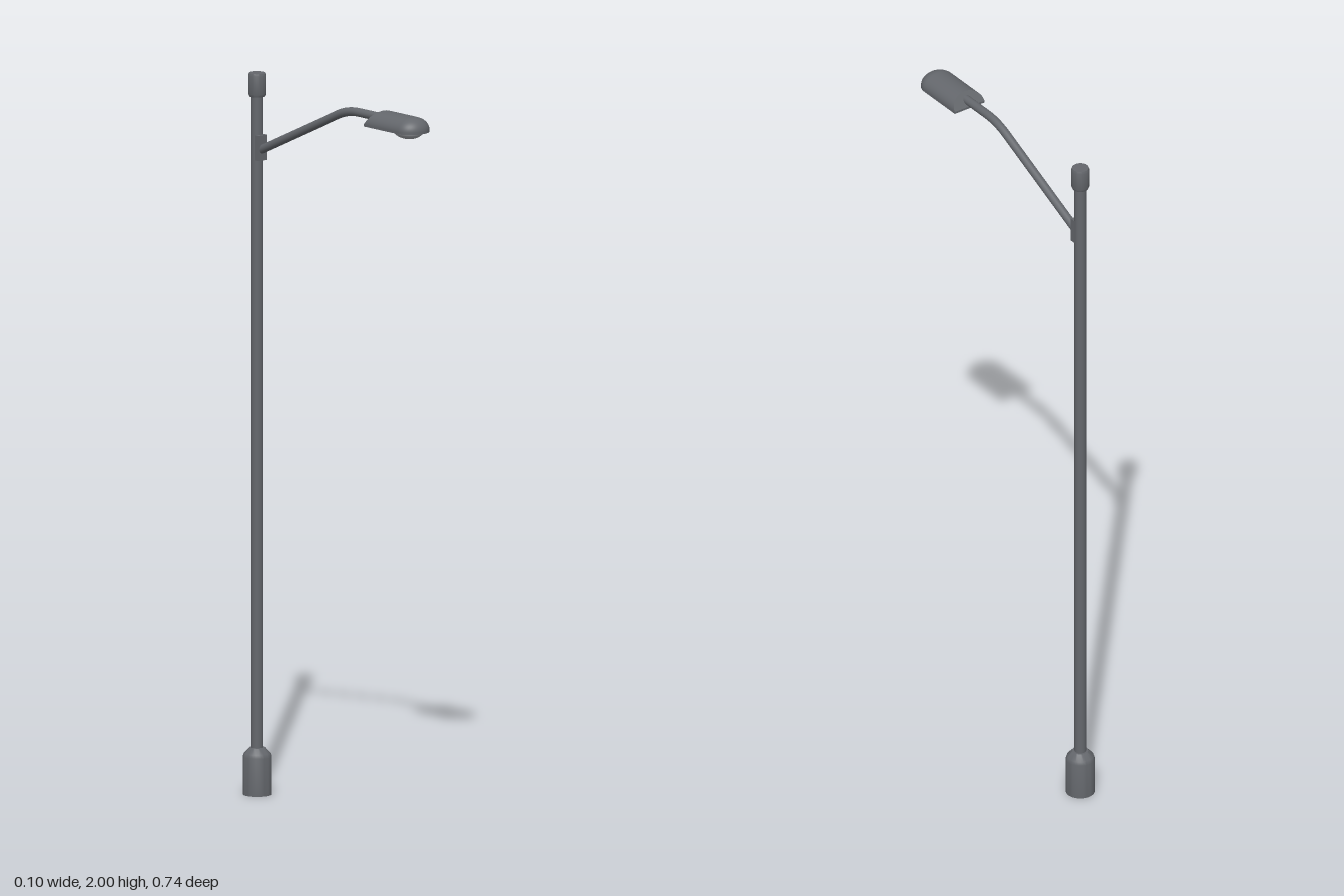
import * as THREE from 'three';
import { toCreasedNormals } from 'three/addons/utils/BufferGeometryUtils.js';
import { ParametricGeometry } from 'three/addons/geometries/ParametricGeometry.js';

const POLE_Z = -0.33;

export function createModel() {
  const metal = new THREE.MeshStandardMaterial({ color: 0x64676c });
  metal.name = 'grey metal';
  metal.side = THREE.DoubleSide;
  const glass = new THREE.MeshStandardMaterial({ color: 0x9a9da2 });
  glass.name = 'pale lens';

  const lamp = new THREE.Group();
  lamp.name = 'streetLamp';
  const add = (name, geometry, material, x = 0, y = 0, z = 0) => {
    const mesh = new THREE.Mesh(geometry, material);
    mesh.name = name;
    mesh.position.set(x, y, z);
    lamp.add(mesh);
    return mesh;
  };
  const turned = (pts) => toCreasedNormals(
    new THREE.LatheGeometry(pts.map(([r, y]) => new THREE.Vector2(r, y)), 32), 0.5);

  // Upright: base with sloped shoulder, shaft and top cap
  add('base', turned([[0, 0], [0.04, 0], [0.04, 0.105], [0.037, 0.114], [0.022, 0.13], [0, 0.13]]), metal, 0, 0, POLE_Z);
  add('pole', new THREE.CylinderGeometry(0.0165, 0.0165, 1.84, 32), metal, 0, 1.04, POLE_Z);
  add('cap', turned([[0, 1.935], [0.022, 1.935], [0.025, 1.942], [0.025, 1.994], [0.023, 2], [0, 2]]), metal, 0, 0, POLE_Z);

  // Arm: sloped run, smooth bend, level run into the head
  const v = (y, z) => new THREE.Vector3(0, y, z);
  const path = new THREE.CurvePath();
  path.add(new THREE.LineCurve3(v(1.785, -0.322), v(1.935, 0.012)));
  path.add(new THREE.QuadraticBezierCurve3(v(1.935, 0.012), v(1.954, 0.055), v(1.954, 0.1)));
  path.add(new THREE.LineCurve3(v(1.954, 0.1), v(1.954, 0.23)));
  add('arm', new THREE.TubeGeometry(path, 60, 0.012, 16), metal);
  add('armBracket', new THREE.BoxGeometry(0.03, 0.07, 0.016), metal, 0, 1.795, -0.314);

  // Head cover: half-round shell, slanted at the back, rounded at the front
  const back = 0.18, bend = 0.323, nose = 0.044, half = 0.05, high = 0.036, floor = 1.939;
  const cover = (u, t, target) => {
    const a = Math.PI * u;
    const f = Math.max(0, (t - 0.25) / 0.75) * Math.PI / 2;
    const start = back + 0.025 * Math.sin(a);
    const z = t < 0.25 ? start + (bend - start) * t / 0.25 : bend + nose * Math.sin(f);
    target.set(half * Math.cos(a) * Math.cos(f), floor + high * Math.sin(a) * Math.cos(f), z);
  };
  add('headCover', new ParametricGeometry(cover, 32, 16), metal);
  add('headBack', new ParametricGeometry((u, t, target) => {
    const a = Math.PI * u;
    target.set(half * Math.cos(a) * t, floor + high * Math.sin(a) * t, back + 0.025 * Math.sin(a) * t);
  }, 32, 1), metal);

  // Underside plate following the head outline
  const outline = new THREE.Shape();
  outline.moveTo(-half, back);
  outline.lineTo(half, back);
  outline.lineTo(half, bend);
  outline.absellipse(0, bend, half, nose, 0, Math.PI, false);
  outline.closePath();
  const plate = new THREE.ExtrudeGeometry(outline, { depth: 0.006, bevelEnabled: false, curveSegments: 24 });
  plate.rotateX(Math.PI / 2);
  add('headPlate', plate, metal, 0, floor, 0);

  // Bowl lens below the plate
  const bowl = new THREE.SphereGeometry(1, 32, 12, 0, Math.PI * 2, Math.PI / 2, Math.PI / 2);
  bowl.scale(0.035, 0.022, 0.046);
  add('lens', bowl, glass, 0, 1.934, 0.307);

  return lamp;
}
